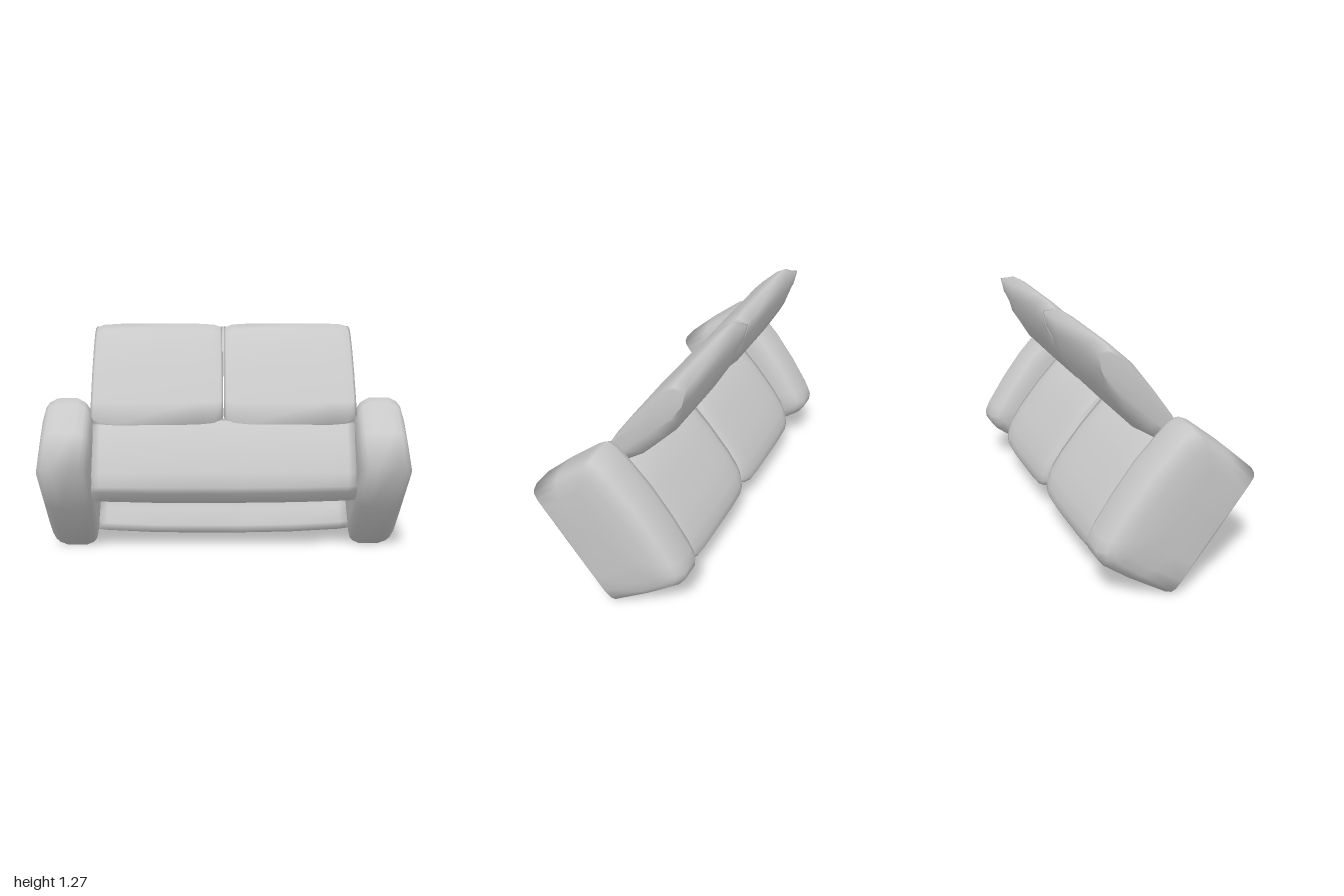
import * as THREE from 'three';

const fabric = new THREE.MeshStandardMaterial({ color: 0xc8c8c8 });
fabric.name = 'grey fabric';

// Closed solid through side profiles of [depth, height] points (depth grows to the
// back); each section is [x, points], in order of x.
function loft(sections) {
  const n = sections[0][1].length;
  const pos = [];
  const index = [];
  for (const [x, points] of sections) {
    for (const [z, y] of points) pos.push(x, y, z);
  }
  const last = (sections.length - 1) * n;
  const c0 = sections.length * n;
  // Cap centres
  for (const [x, points] of [sections[0], sections.at(-1)]) {
    const mean = (k) => points.reduce((sum, p) => sum + p[k], 0) / n;
    pos.push(x, mean(1), mean(0));
  }
  for (let i = 0; i < n; i++) {
    const j = (i + 1) % n;
    for (let k = 0; k < last; k += n) {
      index.push(k + i, k + n + i, k + n + j, k + i, k + n + j, k + j);
    }
    index.push(c0, i, j, c0 + 1, last + j, last + i);
  }
  const g = new THREE.BufferGeometry();
  g.setAttribute('position', new THREE.Float32BufferAttribute(pos, 3));
  g.setIndex(index);
  g.computeVertexNormals();
  return g;
}

const blend = (a, b, t) => a.map(([z, y], i) => [z + (b[i][0] - z) * t, y + (b[i][1] - y) * t]);
const shrinkTo = (a, point) => a.map(() => point);

// Part symmetric about x = cx: [offset, blend from middle to edge profile], widest first
function cushion(cx, middle, edge, half) {
  const side = (d) => half.map(([t, e]) => [cx + d * t, blend(middle, edge, e)]);
  return loft([...side(-1), ...side(1).reverse()]);
}

export function createModel() {
  const model = new THREE.Group();
  model.name = 'sofa';

  // The whole sofa is tipped over its front edge
  const tilt = new THREE.Group();
  tilt.name = 'tippedSofa';
  tilt.rotation.x = -0.921;
  tilt.position.set(0, 0.003, -0.04);
  model.add(tilt);

  const add = (name, geometry) => {
    const mesh = new THREE.Mesh(geometry, fabric);
    mesh.name = name;
    tilt.add(mesh);
  };

  const arm = [
    [0, 0], [0.38, 0], [0.762, 0], [0.782, 0.22], [0.788, 0.42], [0.778, 0.468], [0.735, 0.494],
    [0.65, 0.508], [0.48, 0.528], [0.28, 0.529], [0.1, 0.517], [0.04, 0.504], [0.007, 0.475],
    [-0.01, 0.42], [-0.013, 0.25],
  ];
  const armEdge = shrinkTo(arm, [0.5, 0.08]);
  const armHalf = [[0.14, 0.42], [0.132, 0.22], [0.118, 0.11], [0.098, 0.05], [0.055, 0]];

  const seat = [
    [0.02, 0.28], [0.3, 0.27], [0.66, 0.27], [0.66, 0.39], [0.4, 0.42], [0.2, 0.428],
    [0.08, 0.422], [0.01, 0.404], [-0.03, 0.382], [-0.045, 0.355], [-0.02, 0.295],
  ];
  const seatEdge = shrinkTo(seat, [0.36, 0.32]);
  const seatHalf = [[0.358, 0.14], [0.325, 0.06], [0.27, 0.015], [0.15, 0]];

  const back = [
    [0.61, 0.36], [0.72, 0.33], [0.768, 0.44], [0.825, 0.62], [0.872, 0.776], [0.885, 0.9],
    [0.878, 0.95], [0.826, 0.978], [0.76, 0.91], [0.689, 0.83], [0.633, 0.695], [0.6, 0.507],
  ];
  // Side seam lies near the rear face, with a pinched top corner
  const backEdge = [
    [0.68, 0.4], [0.735, 0.38], [0.765, 0.46], [0.815, 0.62], [0.85, 0.776], [0.862, 0.88],
    [0.855, 0.93], [0.822, 0.985], [0.765, 0.92], [0.735, 0.83], [0.715, 0.69], [0.69, 0.51],
  ];
  const backHalf = [[0.366, 1], [0.352, 0.6], [0.315, 0.18], [0.22, 0]];

  for (const [side, d] of [['left', 1], ['right', -1]]) {
    add(side + 'Arm', cushion(d * 0.86, arm, armEdge, armHalf));
    add(side + 'SeatCushion', cushion(d * 0.36, seat, seatEdge, seatHalf));
    add(side + 'BackCushion', cushion(d * 0.369, back, backEdge, backHalf));
  }

  // Frame: front rail, hollow underside and sloping rear panel
  const frame = [
    [0.03, 0.06], [0.06, 0.045], [0.11, 0.06], [0.14, 0.16], [0.2, 0.28], [0.3, 0.3], [0.37, 0.15],
    [0.405, 0.02], [0.43, 0.003], [0.52, 0.003], [0.56, 0.012], [0.61, 0.075], [0.67, 0.21],
    [0.715, 0.35], [0.7, 0.385], [0.6, 0.37], [0.3, 0.345], [0.04, 0.3], [0.02, 0.18],
  ];
  const frameEdge = shrinkTo(frame, [0.4, 0.27]);
  add('frame', cushion(0, frame, frameEdge, [[0.74, 0.07], [0.68, 0.05], [0.4, 0.012], [0.1, 0]]));

  return model;
}
